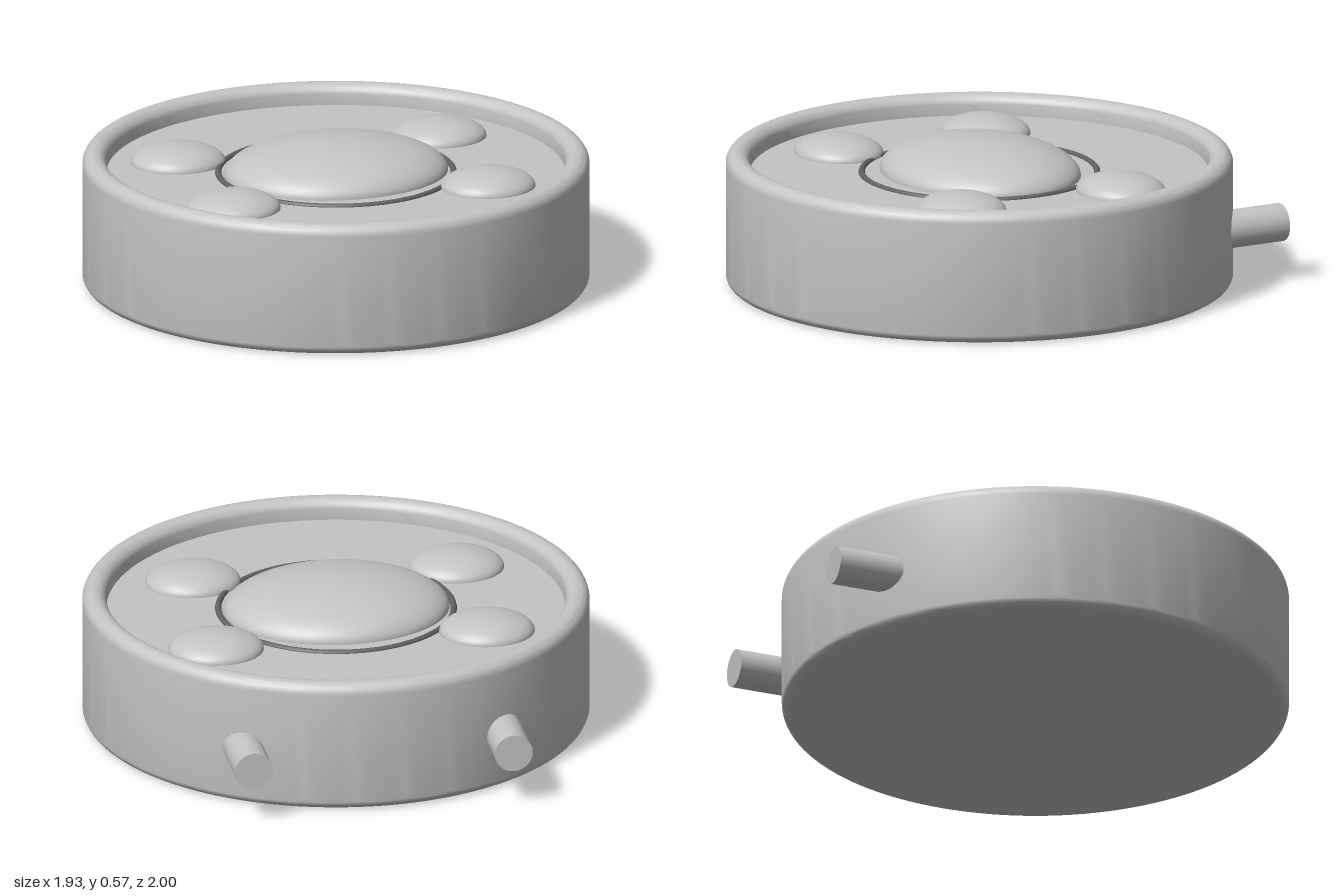
import * as THREE from 'three';
import { toCreasedNormals } from 'three/addons/utils/BufferGeometryUtils.js';

const CZ = 0.033;     // body axis, pushed forward by the rear pins
const FLOOR = 0.435;  // recessed top face

export function createModel() {
  const model = new THREE.Group();
  const shell = new THREE.MeshStandardMaterial({ color: 0xc4c4c4 });
  shell.name = 'light grey';
  const dark = new THREE.MeshStandardMaterial({ color: 0x626262 });
  dark.name = 'dark grey';

  const add = (name, geometry, material, x, y, z) => {
    const mesh = new THREE.Mesh(geometry, material);
    mesh.name = name;
    mesh.position.set(x, y, z);
    model.add(mesh);
    return mesh;
  };

  // Round body with filleted edges, raised rim and recessed floor
  const profile = [new THREE.Vector2(0, 0)];
  const fillet = (cx, cy, r, from, to) => {
    for (let i = 0; i <= 8; i++) {
      const a = from + (to - from) * i / 8;
      profile.push(new THREE.Vector2(cx + r * Math.cos(a), cy + r * Math.sin(a)));
    }
  };
  fillet(0.925, 0.04, 0.04, -Math.PI / 2, 0);
  fillet(0.92, 0.47, 0.045, 0, Math.PI / 2);
  fillet(0.917, 0.471, 0.044, Math.PI / 2, Math.PI);
  profile.push(new THREE.Vector2(0.873, FLOOR), new THREE.Vector2(0, FLOOR));
  add('body', toCreasedNormals(new THREE.LatheGeometry(profile, 128), 0.6), shell, 0, 0, CZ);

  // Dark ring around the central dome
  add('ring', new THREE.TorusGeometry(0.448, 0.012, 12, 96), dark, 0, FLOOR, CZ)
    .rotation.x = Math.PI / 2;

  // Flattened domes: upper halves of ellipsoids resting on the floor
  const dome = new THREE.SphereGeometry(1, 64, 24, 0, Math.PI * 2, 0, Math.PI / 2);
  add('centralDome', dome, shell, 0, FLOOR, CZ - 0.003).scale.set(0.434, 0.132, 0.366);
  for (const [x, z] of [[-0.525, -0.29], [0.522, -0.29], [-0.522, 0.353], [0.49, 0.387]]) {
    add('button', dome, shell, x, FLOOR, z).scale.set(0.183, 0.07, 0.167);
  }

  // Rear pins
  for (const side of [-1, 1]) {
    add('rearPin', new THREE.CylinderGeometry(0.073, 0.073, 0.4, 40), shell, side * 0.502, 0.22, -0.8)
      .rotation.x = Math.PI / 2;
  }

  return model;
}
